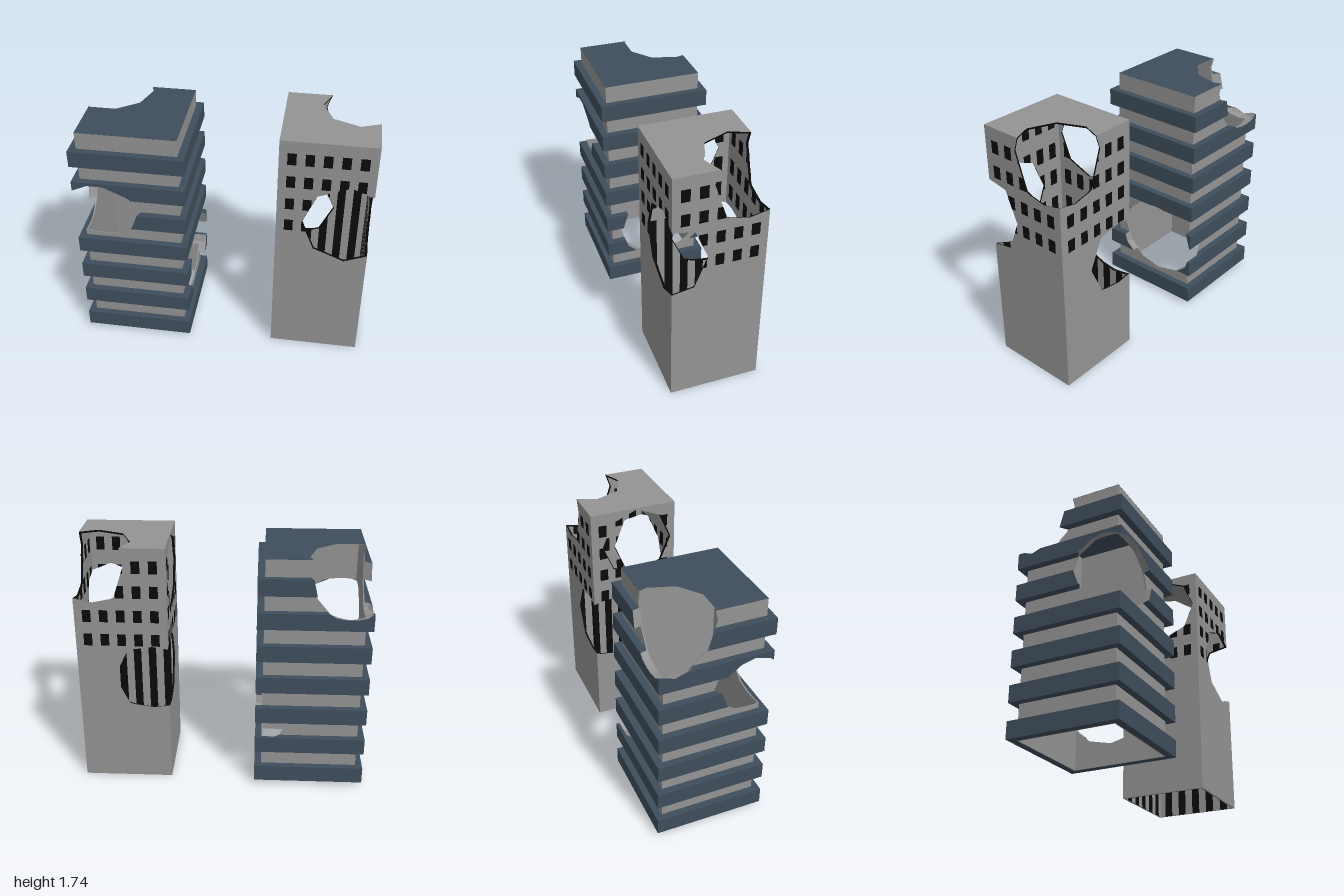
import * as THREE from 'three';

const GREY = 0x949494, BLUE = 0x3f4e5c, BLACK = 0x0a0a0a;

// ---- cutting of convex solids -------------------------------------------
// A solid is a list of faces; each face has its corners and its plane.
function toSolid(geometry) {
  const pos = geometry.toNonIndexed().attributes.position;
  const faces = [];
  for (let i = 0; i < pos.count; i += 3) {
    const points = [0, 1, 2].map(k => new THREE.Vector3().fromBufferAttribute(pos, i + k));
    faces.push({ points, plane: new THREE.Plane().setFromCoplanarPoints(...points) });
  }
  return faces;
}

function area(points) {
  const sum = new THREE.Vector3();
  for (let i = 2; i < points.length; i++) {
    sum.add(points[i - 1].clone().sub(points[0]).cross(points[i].clone().sub(points[0])));
  }
  return sum.length() / 2;
}

// Part of a polygon on one side of a plane (side 1: outside, -1: inside)
function clip(points, plane, side) {
  const out = [];
  points.forEach((a, i) => {
    const b = points[(i + 1) % points.length];
    const da = plane.distanceToPoint(a) * side, db = plane.distanceToPoint(b) * side;
    if (da >= 0) out.push(a);
    if ((da > 0 && db < 0) || (da < 0 && db > 0)) out.push(a.clone().lerp(b, da / (da - db)));
  });
  return out.length > 2 && area(out) > 1e-7 ? out : null;
}

// Pieces of a polygon left outside a convex solid
function subtract(points, solid) {
  const pieces = [];
  let rest = points;
  for (const { plane } of solid) {
    const outside = clip(rest, plane, 1);
    if (outside) pieces.push(outside);
    rest = clip(rest, plane, -1);
    if (!rest) return [points];
  }
  return pieces;
}

const subtractAll = (polys, solids) =>
  solids.reduce((list, s) => list.flatMap(p => subtract(p, s)), polys);

// Boxes with the blasts removed: the remaining skin and the broken edges
function carve(boxes, blasts) {
  const skin = [], broken = [];
  for (const box of boxes) {
    skin.push(...subtractAll(box.map(f => f.points), blasts));
    blasts.forEach(blast => blast.forEach(face => {
      let poly = [...face.points].reverse();
      for (const f of box) if (poly) poly = clip(poly, f.plane, -1);
      if (poly) broken.push(...subtractAll([poly], blasts.filter(b => b !== blast)));
    }));
  }
  return { skin, broken };
}

function polyMesh(name, polys, color) {
  const verts = [];
  for (const p of polys) {
    for (let i = 2; i < p.length; i++) {
      for (const v of [p[0], p[i - 1], p[i]]) verts.push(v.x, v.y, v.z);
    }
  }
  const geometry = new THREE.BufferGeometry();
  geometry.setAttribute('position', new THREE.Float32BufferAttribute(verts, 3));
  geometry.computeVertexNormals();
  const mesh = new THREE.Mesh(geometry, new THREE.MeshStandardMaterial({ color, flatShading: true }));
  mesh.name = name;
  return mesh;
}

function addPart(group, name, boxes, blasts, color, edgeColor) {
  const { skin, broken } = carve(boxes, blasts);
  group.add(polyMesh(name, skin, color));
  if (broken.length) group.add(polyMesh(name + 'BrokenEdges', broken, edgeColor));
}

// ---- shapes ---------------------------------------------------------------
const box = (x0, x1, y0, y1, z0, z1) => toSolid(
  new THREE.BoxGeometry(x1 - x0, y1 - y0, z1 - z0)
    .translate((x0 + x1) / 2, (y0 + y1) / 2, (z0 + z1) / 2));

// Faceted ball that bites a hole
const blast = (x, y, z, rx, ry, rz, sides = 8, rings = 4) => toSolid(
  new THREE.SphereGeometry(1, sides, rings).scale(rx, ry, rz).translate(x, y, z));

// Four bars around a square of half width h, t thick inwards
const ring = (cx, h, t, y0, y1) => [
  box(cx - h, cx + h, y0, y1, h - t, h),
  box(cx - h, cx + h, y0, y1, -h, -h + t),
  box(cx - h, cx - h + t, y0, y1, -h + t, h - t),
  box(cx + h - t, cx + h, y0, y1, -h + t, h - t),
];

// Thin rectangles on the four sides, from distance d0 to d1 off the axis
function panels(cx, rows, d0, d1) {
  const list = [];
  for (const [y0, y1] of rows) {
    for (let i = -2; i <= 2; i++) {
      const a = i * 0.115 - 0.029, b = i * 0.115 + 0.029;
      list.push(
        box(cx + a, cx + b, y0, y1, d0, d1), box(cx + a, cx + b, y0, y1, -d1, -d0),
        box(cx + d0, cx + d1, y0, y1, a, b), box(cx - d1, cx - d0, y0, y1, a, b));
    }
  }
  return list;
}

// ---- buildings --------------------------------------------------------------
function bandedTower() {
  const tower = new THREE.Group();
  tower.name = 'bandedTower';
  const cx = -0.615, h = 0.337, top = 1.69, roof = 0.002;
  const blasts = [
    blast(-0.84, 1.105, 0.26, 0.325, 0.235, 0.27, 10, 6), // front corner
    blast(-0.85, 1.62, -0.28, 0.3, 0.36, 0.31, 10, 6), // roof corner
    blast(-0.28, 0.47, -0.06, 0.32, 0.29, 0.345, 10, 6), // low side
  ];
  addPart(tower, 'coreWalls', ring(cx, h, 0.008, 0.03, top - roof), blasts, GREY, GREY);
  addPart(tower, 'roof', [box(cx - h, cx + h, top - roof, top, -h, h)], blasts, BLUE, GREY);
  const bands = [];
  for (let i = 0; i < 7; i++) {
    const y = 0.03 + i * 0.237;
    bands.push(...ring(cx, 0.385, 0.385 - h, y, y + 0.117));
  }
  addPart(tower, 'floorBands', bands, blasts, BLUE, GREY);
  return tower;
}

function windowTower() {
  const tower = new THREE.Group();
  tower.name = 'windowTower';
  const cx = 0.685, h = 0.314, t = 0.014, top = 1.74, proud = 0.0008;
  const blasts = [
    blast(0.845, 1.12, 0.315, 0.305, 0.305, 0.3), // front corner
    blast(0.87, 1.645, -0.18, 0.285, 0.355, 0.285), // roof corner
    blast(0.37, 1.475, 0.025, 0.22, 0.255, 0.26), // inner side
    blast(0.48, 0.805, -0.18, 0.325, 0.285, 0.31), // back corner
  ];
  addPart(tower, 'walls', ring(cx, h, t, 0, top - t), blasts, GREY, BLACK);
  addPart(tower, 'roof', [box(cx - h, cx + h, top - t, top, -h, h)], blasts, GREY, BLACK);
  const outerRows = [0, 1, 2, 3].map(i => [1.043 + i * 0.174, 1.13 + i * 0.174]);
  addPart(tower, 'windows', panels(cx, outerRows, h, h + proud), blasts, BLACK, BLACK);
  // inside, the lowest row runs down to the ground
  const innerRows = [[0, 1], [1.1, 1.21], [1.3, 1.41], [1.52, 1.62]];
  addPart(tower, 'innerStrips', panels(cx, innerRows, h - t - proud, h - t), blasts, BLACK, BLACK);
  return tower;
}

export function createModel() {
  const model = new THREE.Group();
  model.name = 'ruinedTowers';
  model.add(bandedTower(), windowTower());
  return model;
}
